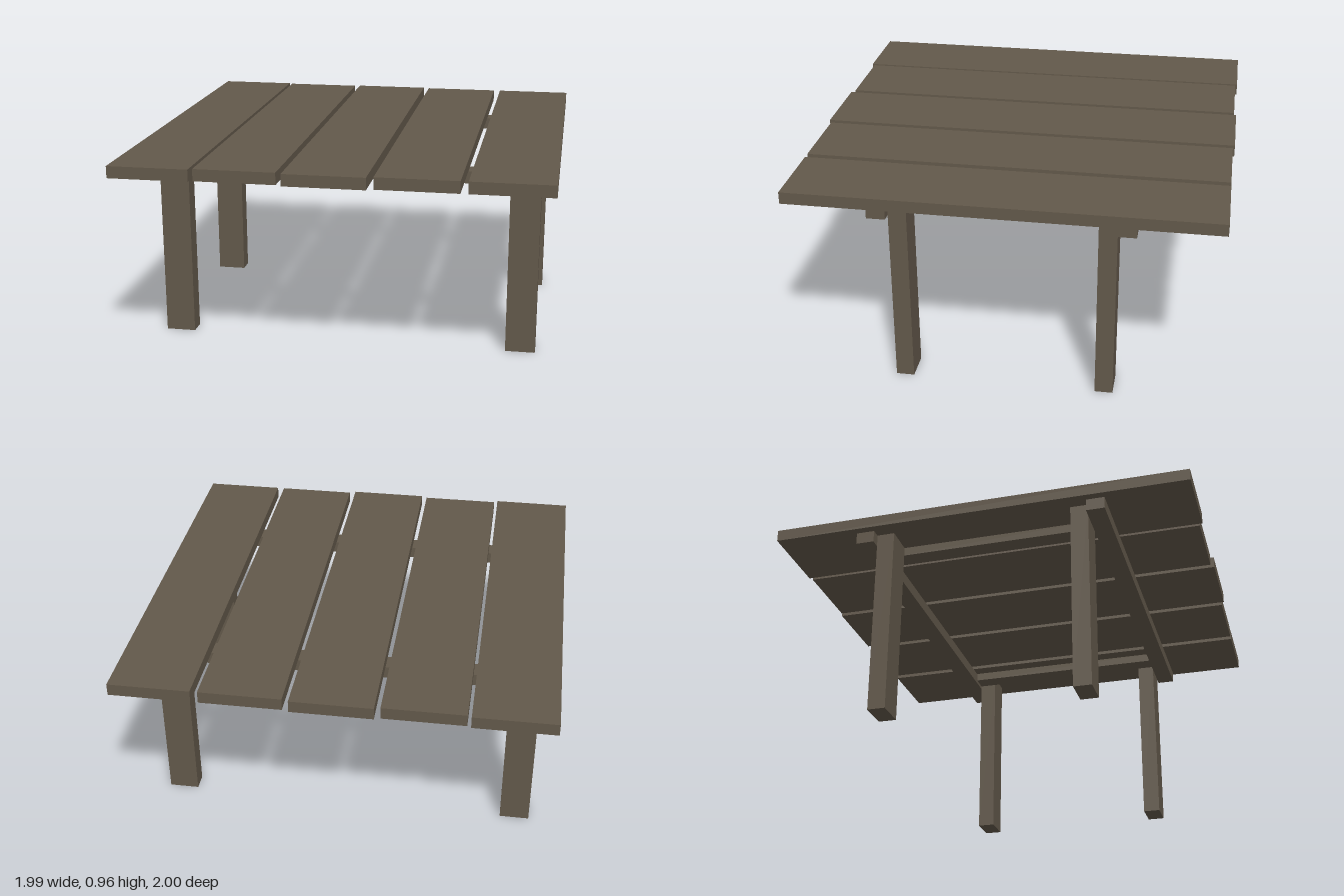
import * as THREE from 'three';

export function createModel() {
  const table = new THREE.Group();
  table.name = 'slattedTable';
  const wood = new THREE.MeshStandardMaterial({ color: 0x62584a });
  wood.name = 'weatheredWood';

  // Box given by its limits along each axis
  const board = (name, [x0, x1], [y0, y1], [z0, z1]) => {
    const mesh = new THREE.Mesh(new THREE.BoxGeometry(x1 - x0, y1 - y0, z1 - z0), wood);
    mesh.position.set((x0 + x1) / 2, (y0 + y1) / 2, (z0 + z1) / 2);
    mesh.name = name;
    table.add(mesh);
  };
  const mirrored = (side, inner, outer) => (side > 0 ? [inner, outer] : [-outer, -inner]);

  // Top planks, alternating slightly in length
  [-0.995, -0.602, -0.199, 0.207, 0.617].forEach((x, i) => {
    const z = i === 0 || i === 2 ? [-1, 1] : [-0.99, 0.985];
    board('topPlank', [x, x + 0.376], [0.909, 0.965], z);
  });

  for (const side of [-1, 1]) {
    // Cross beams outside the legs
    board('crossBeam', [-0.96, 0.96], [0.85, 0.907], mirrored(side, 0.515, 0.602));
    // Rails along the inner faces of the legs
    board('sideRail', mirrored(side, 0.685, 0.772), [0.867, 0.909], [-0.515, 0.515]);
    // Legs
    for (const end of [-1, 1]) {
      board('leg', mirrored(side, 0.772, 0.914), [0, 0.909], mirrored(end, 0.431, 0.515));
    }
  }
  return table;
}
